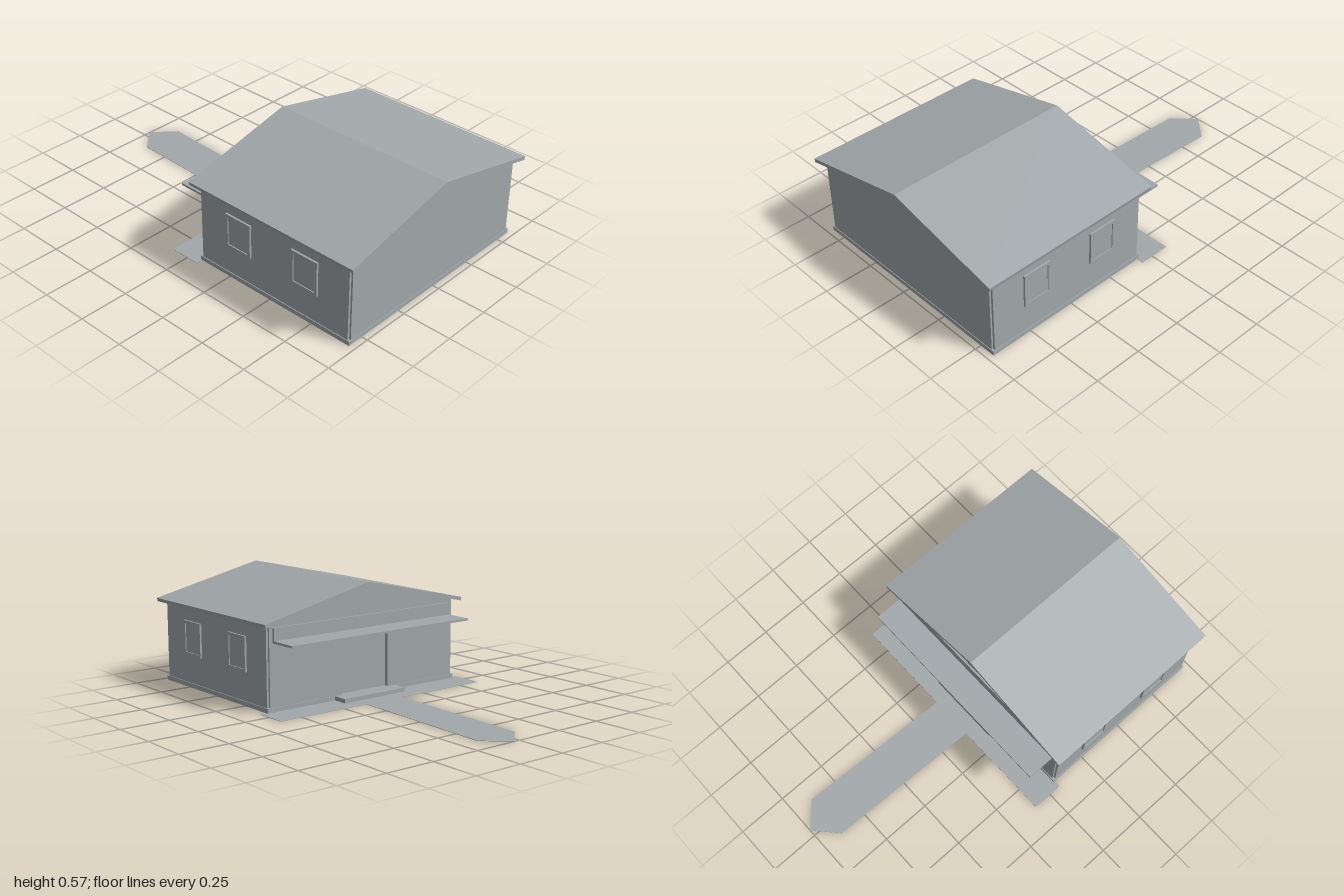
import * as THREE from 'three';

export function createModel() {
  const house = new THREE.Group();
  house.name = 'house';
  const grey = new THREE.MeshStandardMaterial({ color: 0xa2a8ab });
  grey.name = 'plain grey';

  const add = (name, geometry) => {
    const mesh = new THREE.Mesh(geometry, grey);
    mesh.name = name;
    house.add(mesh);
    return mesh;
  };
  // box given by its lower and upper limits on each axis
  const box = (name, x0, x1, y0, y1, z0, z1) =>
    add(name, new THREE.BoxGeometry(x1 - x0, y1 - y0, z1 - z0)
      .translate((x0 + x1) / 2, (y0 + y1) / 2, (z0 + z1) / 2));
  const outline = (pts) => new THREE.Shape(pts.map(([x, y]) => new THREE.Vector2(x, y)));
  const rect = (x0, x1, y0, y1) => outline([[x0, y0], [x1, y0], [x1, y1], [x0, y1]]);
  // outline in x and y, extruded from z0 to z1
  const extrude = (shape, z0, z1) =>
    new THREE.ExtrudeGeometry(shape, { depth: z1 - z0, bevelEnabled: false }).translate(0, 0, z0);

  // walls: gable ends run up to the underside of the roof
  const gable = () => outline([[-0.57, 0.01], [0.57, 0.01], [0.57, 0.42], [0, 0.551], [-0.57, 0.42]]);
  add('body', extrude(gable(), 0.08, 0.957));
  add('frontWall', extrude(gable(), 0.957, 0.966));
  const backShape = gable();
  backShape.holes.push(rect(-0.145, 0.145, 0.023, 0.334));
  add('backWall', extrude(backShape, 0.06, 0.08));

  // base plate and door step
  box('basePlate', -0.585, 0.585, 0, 0.023, 0.056, 0.969);
  box('doorStep', -0.19, 0.19, 0, 0.023, -0.02, 0.056);

  for (const side of [-1, 1]) {
    const name = side > 0 ? 'left' : 'right';
    const x = (a, b) => (side > 0 ? [a, b] : [-b, -a]);
    box(name + 'Wall', ...x(0.57, 0.581), 0.02, 0.418, 0.07, 0.957);

    // framed windows
    for (const z of [0.31, 0.708]) {
      const frame = rect(-0.076, 0.076, 0.168, 0.343);
      frame.holes.push(rect(-0.062, 0.062, 0.182, 0.329));
      const mesh = add(name + 'WindowFrame', extrude(frame, 0.581, 0.591));
      mesh.rotation.y = side * Math.PI / 2;
      mesh.position.z = z;
      box(name + 'WindowPane', ...x(0.581, 0.586), 0.182, 0.329, z - 0.062, z + 0.062);
    }

    // sloping roof slab with square-cut eaves
    const slab = [[0, 0.57], [0, 0.551], [0.611, 0.412], [0.615, 0.43]];
    add(name + 'Roof', extrude(outline(slab.map(([px, py]) => [side * px, py])), 0.027, 1));
  }

  // awning over the back door and the board that carries it
  box('awningBoard', -0.55, 0.55, 0.331, 0.405, 0.05, 0.06);
  box('awning', -0.55, 0.55, 0.331, 0.342, -0.091, 0.052);

  // paving strip and pointed path leading away from the door
  box('pavingStrip', -0.62, 0.62, 0, 0.002, -0.096, 0.065);
  const path = outline([[-0.106, 0.095], [0.117, 0.095], [0.149, 0.895], [0.034, 1], [-0.08, 0.895]]);
  const pathMesh = add('gardenPath', extrude(path, 0, 0.002));
  pathMesh.rotation.x = -Math.PI / 2;

  return house;
}
